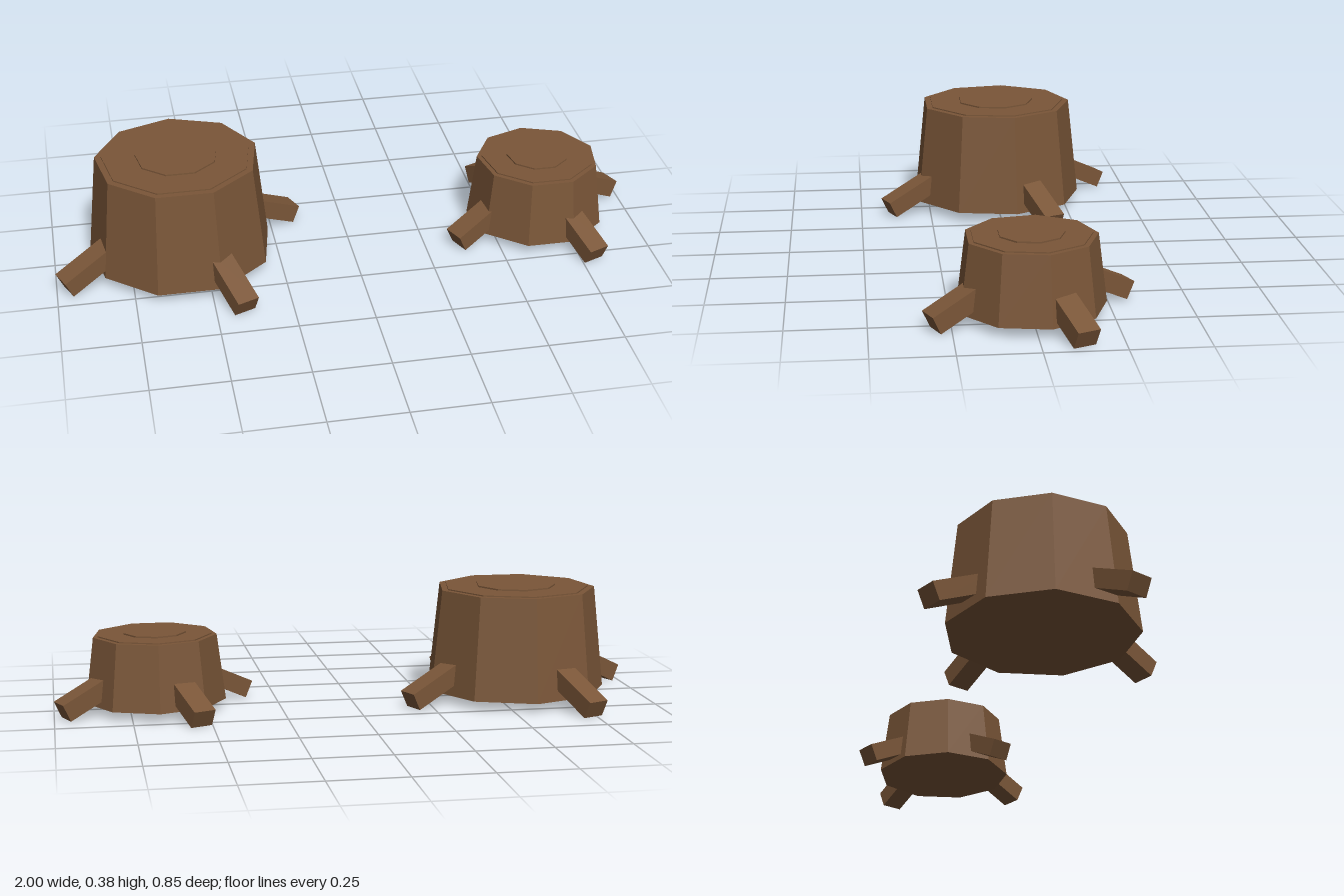
import * as THREE from 'three';

const SIDES = 9;
const BASE_Y = 0.03;

export function createModel() {
  const bark = new THREE.MeshStandardMaterial({ color: 0x7a5638 });
  bark.name = 'barkBrown';

  // Nine-sided tapered slab with hard edges, one corner pointing to the back
  function slab(name, topR, bottomR, y0, y1) {
    const geo = new THREE.CylinderGeometry(topR, bottomR, y1 - y0, SIDES, 1, false, Math.PI).toNonIndexed();
    geo.computeVertexNormals();
    const mesh = new THREE.Mesh(geo, bark);
    mesh.name = name;
    mesh.position.y = (y0 + y1) / 2;
    return mesh;
  }

  // Square root sloping down to the ground; its upper tip edge lies at radius reach
  function root(reach, angle) {
    const tilt = 0.44, length = 0.24, height = 0.061;
    const geo = new THREE.BoxGeometry(length, height, 0.075).translate(-length / 2, -height / 2, 0);
    const mesh = new THREE.Mesh(geo, bark);
    mesh.name = 'root';
    mesh.position.set(reach, height * Math.cos(tilt), 0);
    mesh.rotation.z = -tilt;
    const pivot = new THREE.Group();
    pivot.name = 'rootPivot';
    pivot.rotation.y = angle;
    pivot.add(mesh);
    return pivot;
  }

  function stump(name, x, r, topY, reach) {
    const g = new THREE.Group();
    g.name = name;
    g.position.x = x;
    g.add(slab('trunk', r * 0.88, r, BASE_Y, topY));
    // Raised growth rings on the cut face
    g.add(slab('outerRing', r * 0.81, r * 0.81, topY - 0.005, topY + 0.004));
    g.add(slab('innerRing', r * 0.445, r * 0.445, topY - 0.005, topY + 0.009));
    for (let i = 0; i < 4; i++) g.add(root(reach, 0.4 + i * Math.PI / 2));
    return g;
  }

  const model = new THREE.Group();
  model.name = 'treeStumps';
  model.add(stump('largeStump', -0.573, 0.308, 0.375, 0.448));
  model.add(stump('smallStump', 0.663, 0.235, 0.25, 0.35));
  return model;
}
